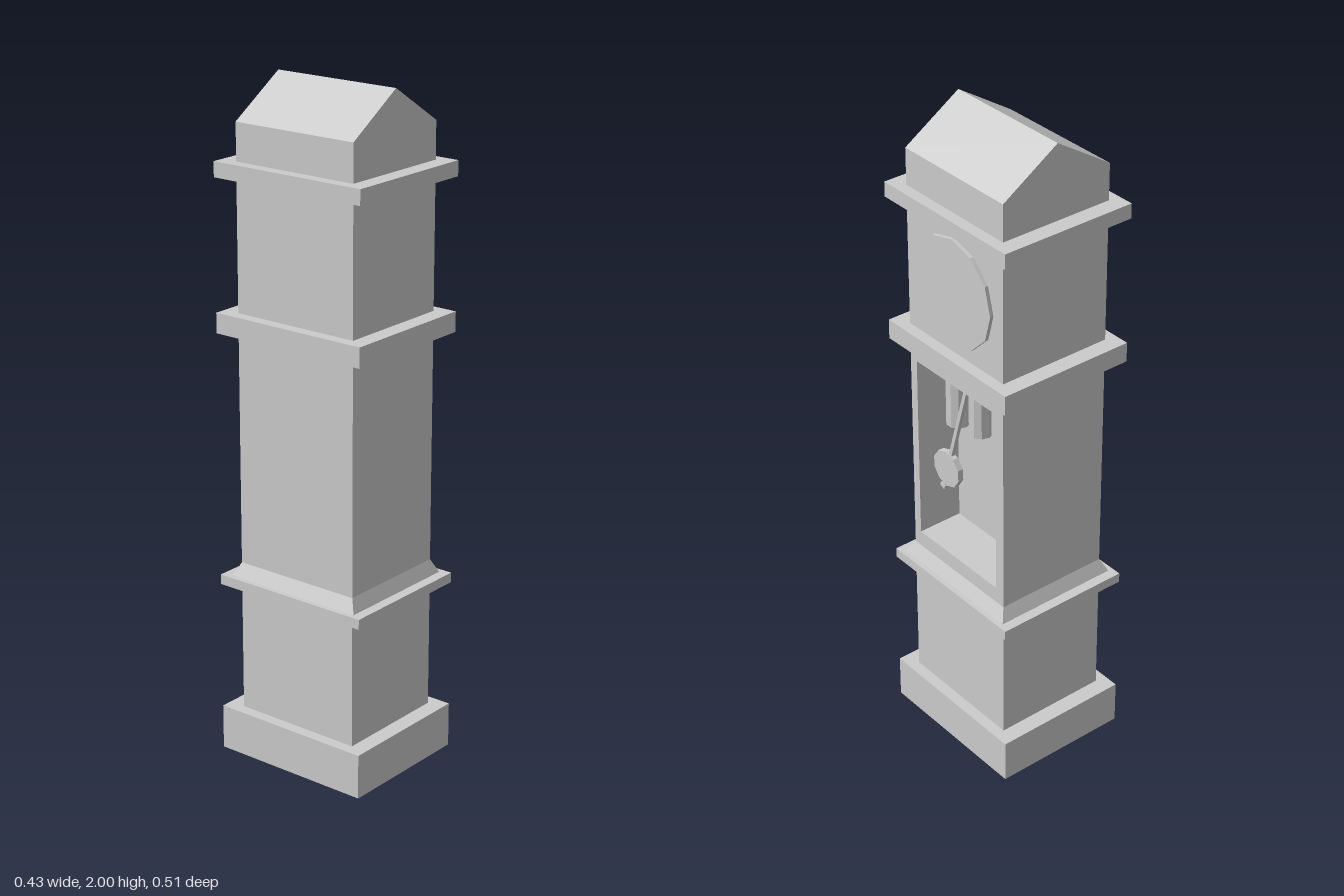
import * as THREE from 'three';

const material = new THREE.MeshStandardMaterial({ color: 0xcccccc, flatShading: true });
const W = 0.18, D = 0.204;        // half width and half depth of the case
const TW = 0.215, TD = 0.255;     // half width and half depth of the mouldings
const RECESS_X = 0.037;           // back of the pendulum window

function add(parent, name, geometry, x = 0, y = 0, z = 0) {
  const mesh = new THREE.Mesh(geometry, material);
  mesh.name = name;
  mesh.position.set(x, y, z);
  parent.add(mesh);
  return mesh;
}

function rect(path, x0, y0, x1, y1) {
  path.moveTo(x0, y0);
  path.lineTo(x1, y0);
  path.lineTo(x1, y1);
  path.lineTo(x0, y1);
  path.closePath();
  return path;
}

function extrude(shape, depth) {
  return new THREE.ExtrudeGeometry(shape, { depth, bevelEnabled: false });
}

// Rectangular tube standing upright
function upright(w, d, holeW, holeD, height) {
  const shape = rect(new THREE.Shape(), -w, -d, w, d);
  shape.holes.push(rect(new THREE.Path(), -holeW, -holeD, holeW, holeD));
  return extrude(shape, height).rotateX(-Math.PI / 2);
}

export function createModel() {
  const clock = new THREE.Group();
  clock.name = 'longcaseClock';

  // Hollow plinth and lower case, open underneath
  add(clock, 'plinth', upright(TW, TD, W, D, 0.135));
  add(clock, 'lowerCase', upright(W, D, W - 0.04, D - 0.04, 0.48), 0, 0.06, 0);

  // Middle case: solid back and a side panel with a window cut through
  const y0 = 0.54, y1 = 1.32;
  add(clock, 'caseBack', new THREE.BoxGeometry(W + RECESS_X, y1 - y0, 2 * D),
    (RECESS_X - W) / 2, (y0 + y1) / 2, 0);
  const panel = rect(new THREE.Shape(), -D, y0, D, y1);
  panel.holes.push(rect(new THREE.Path(), -0.177, 0.645, 0.172, 1.233));
  add(clock, 'windowPanel', extrude(panel, W - RECESS_X).rotateY(Math.PI / 2), RECESS_X);

  // Hood with gabled roof
  const gable = new THREE.Shape();
  gable.moveTo(-W, y1);
  gable.lineTo(W, y1);
  gable.lineTo(W, 1.885);
  gable.lineTo(0, 2);
  gable.lineTo(-W, 1.885);
  gable.closePath();
  add(clock, 'hood', extrude(gable, 2 * D), 0, 0, -D);

  // Mouldings around the case
  for (const [name, low, high] of [
    ['waistMoulding', 0.525, 0.555],
    ['hoodMoulding', 1.285, 1.345],
    ['roofMoulding', 1.73, 1.775],
  ]) {
    add(clock, name, new THREE.BoxGeometry(2 * TW, high - low, 2 * TD), 0, (low + high) / 2, 0);
  }

  // Sloped collar above the waist, built as four outward-facing strips
  const bottom = [0.199, 0.555, 0.224], top = [W, 0.595, D];
  const corners = [[1, 1], [1, -1], [-1, -1], [-1, 1]];
  const points = [];
  const put = ([w, y, d], [sx, sz]) => points.push(w * sx, y, d * sz);
  corners.forEach((a, i) => {
    const b = corners[(i + 1) % 4];
    put(bottom, a); put(bottom, b); put(top, b);
    put(bottom, a); put(top, b); put(top, a);
  });
  const collar = new THREE.BufferGeometry();
  collar.setAttribute('position', new THREE.Float32BufferAttribute(points, 3));
  collar.computeVertexNormals();
  add(clock, 'waistCollar', collar);

  // Dial disc
  add(clock, 'dial', new THREE.CylinderGeometry(0.164, 0.164, 0.02, 12).rotateZ(-Math.PI / 2),
    0.181, 1.537, 0);

  // Hanging weights
  for (const [z, low] of [[0.117, 1.02], [0.013, 1.038], [-0.088, 1.038]]) {
    const height = 1.24 - low;
    add(clock, 'weight', new THREE.CylinderGeometry(0.036, 0.036, height, 10),
      0.083, low + height / 2, z);
  }

  // Swinging pendulum
  const pendulum = new THREE.Group();
  pendulum.name = 'pendulum';
  pendulum.position.set(0.132, 1.235, 0.003);
  pendulum.rotation.x = -0.28;
  add(pendulum, 'pendulumRod', new THREE.BoxGeometry(0.012, 0.44, 0.012), 0, -0.22, 0);
  add(pendulum, 'pendulumBob',
    new THREE.CylinderGeometry(0.058, 0.058, 0.018, 10).rotateZ(-Math.PI / 2), 0, -0.358, 0);
  add(pendulum, 'pendulumNut', new THREE.BoxGeometry(0.016, 0.012, 0.02), 0, -0.43, 0);
  clock.add(pendulum);

  return clock;
}
